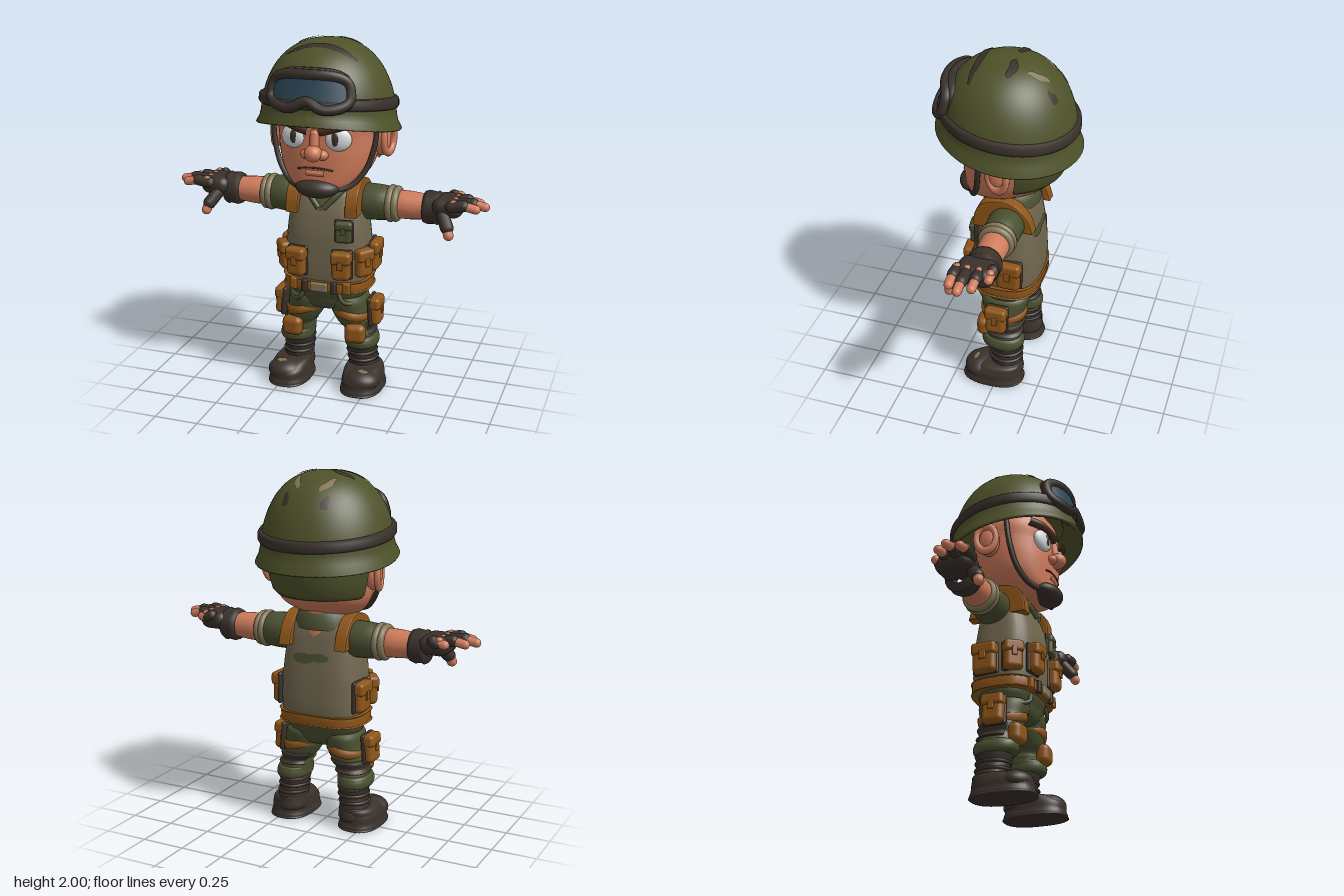
import * as THREE from 'three';
import { RoundedBoxGeometry } from 'three/addons/geometries/RoundedBoxGeometry.js';
import { ParametricGeometry } from 'three/addons/geometries/ParametricGeometry.js';

const V = (x, y, z) => new THREE.Vector3(x, y, z);
const mat = (name, color, side = THREE.FrontSide) => new THREE.MeshStandardMaterial({ name, color, side });

// Cross-sections [y, centreX, centreZ, radiusX, radiusZ], blended smoothly along v
const fb = rows => rows.map(([y, f, b, rx]) => [y, 0, (f + b) / 2, rx, (f - b) / 2]);
const cr = (a, b, c, d, t) => 0.5 * (2 * b + (c - a) * t + (2 * a - 5 * b + 4 * c - d) * t * t + (3 * b - a - 3 * c + d) * t * t * t);
function sample(S, v) {
  const f = v * (S.length - 1), i = Math.min(Math.floor(f), S.length - 2), at = j => S[Math.max(0, Math.min(S.length - 1, j))];
  return S[0].map((_, k) => cr(at(i - 1)[k], at(i)[k], at(i + 1)[k], at(i + 2)[k], f - i));
}
function loft(rows, n = 2, u0 = 0, u1 = 2 * Math.PI) {
  const cap = r => [r[0], r[1], r[2], 0.001, 0.001];
  const S = [cap(rows[0]), ...rows, cap(rows[rows.length - 1])];
  return new ParametricGeometry((u, v, p) => {
    const [y, cx, cz, rx, rz] = sample(S, v), a = u0 + (u1 - u0) * u, s = Math.sin(a), c = Math.cos(a);
    const k = Math.pow(Math.abs(s) ** n + Math.abs(c) ** n, -1 / n);
    p.set(cx + rx * k * s, y, cz + rz * k * c);
  }, 40, (S.length - 1) * 5);
}
// Depth of a lofted body's surface at (x, y); dir 1 = front, -1 = back
function surfZ(S, n, x, y, dir = 1) {
  let lo = 0, hi = 1;
  for (let i = 0; i < 30; i++) { const m = (lo + hi) / 2; if (sample(S, m)[0] < y) lo = m; else hi = m; }
  const [, , cz, rx, rz] = sample(S, lo), q = Math.min(1, Math.abs(x) / rx);
  return cz + dir * rz * Math.pow(1 - q ** n, 1 / n);
}
const ball = (x, y, z, rx, ry, rz) => new THREE.SphereGeometry(1, 28, 18).scale(rx, ry, rz).translate(x, y, z);
const rbox = (w, h, d, r = 0.02) => new RoundedBoxGeometry(w, h, d, 3, Math.min(r, w / 2.1, h / 2.1, d / 2.1));
const tube = (pts, r, closed = false, seg = 40) => new THREE.TubeGeometry(new THREE.CatmullRomCurve3(pts, closed), seg, r, 10, closed);
const lathe = (pts, seg = 48, ...arc) => new THREE.LatheGeometry(pts.map(p => new THREE.Vector2(...p)), seg, ...arc);
// Turned limb along +x, points are [radius, x]
const limb = pts => lathe(pts, 24).rotateZ(-Math.PI / 2).translate(0, 1.1, -0.045);
function capsule(a, b, r) {
  const d = b.clone().sub(a), m = a.clone().add(b).multiplyScalar(0.5);
  const q = new THREE.Quaternion().setFromUnitVectors(V(0, 1, 0), d.clone().normalize());
  return new THREE.CapsuleGeometry(r, d.length(), 5, 12).applyQuaternion(q).translate(m.x, m.y, m.z);
}
function mirrored(geo) {
  const g = geo.clone().scale(-1, 1, 1);
  const idx = g.index ? Array.from(g.index.array) : [...Array(g.attributes.position.count).keys()];
  g.setIndex(idx.reverse());
  return g;
}

export function createModel() {
  const root = new THREE.Group();
  root.name = 'soldier';
  const skin = mat('skin', 0xd07c5c), helmetGreen = mat('helmetGreen', 0x4e5229, THREE.DoubleSide), cloth = mat('clothGreen', 0x4a5030, THREE.DoubleSide);
  const vestTan = mat('vestTan', 0x71674f), cuffTan = mat('paleTan', 0x827657, THREE.DoubleSide), leather = mat('leather', 0x8f5618);
  const dark = mat('darkBrown', 0x3a312b, THREE.DoubleSide), white = mat('eyeWhite', 0xd9dcdc), glass = mat('lensBlue', 0x2a4454, THREE.DoubleSide), brow = mat('browBrown', 0x4a2b1e);
  const add = (name, geo, m) => { const o = new THREE.Mesh(geo, m); o.name = name; root.add(o); };
  const pair = (name, geo, m) => { add(name + 'Left', geo, m); add(name + 'Right', mirrored(geo), m); };

  // Head
  const H = fb([[1.18, 0.18, 0.04, 0.05], [1.195, 0.21, -0.04, 0.12], [1.24, 0.23, -0.13, 0.185], [1.31, 0.235, -0.24, 0.24],
    [1.4, 0.24, -0.28, 0.265], [1.5, 0.24, -0.3, 0.275], [1.6, 0.24, -0.3, 0.28], [1.7, 0.2, -0.25, 0.22]]);
  const face = (x, y, lift = 0) => V(x, y, surfZ(H, 2.4, x, y) + lift);
  add('head', loft(H, 2.4), skin);
  add('neck', lathe([[0.13, 1.1], [0.12, 1.28]], 24).translate(0, 0, -0.03), skin);
  add('nose', ball(0, 1.43, 0.262, 0.048, 0.045, 0.05), skin);
  add('noseBridge', capsule(V(0, 1.44, 0.25), V(0, 1.53, 0.235), 0.026), skin);
  pair('nostril', ball(0.045, 1.42, 0.243, 0.032, 0.028, 0.032), skin);
  add('mouth', tube([-0.1, -0.05, 0, 0.05, 0.1].map(x => face(x, 1.345 - x * x * 1.2, 0.001)), 0.005), brow);
  add('lowerLip', tube([-0.05, 0, 0.05].map(x => face(x, 1.315, -0.008)), 0.018), skin);
  const eyeZ = surfZ(H, 2.4, 0.125, 1.5);
  pair('eye', ball(0, 0, 0, 0.07, 0.062, 0.03).rotateY(0.25).translate(0.128, 1.505, eyeZ - 0.002), white);
  pair('pupil', ball(0.114, 1.51, eyeZ + 0.026, 0.02, 0.036, 0.008), dark);
  pair('eyebrow', tube([[0.03, 1.55], [0.09, 1.565], [0.16, 1.585], [0.22, 1.595]].map(([x, y]) => face(x, y, 0.012)), 0.025), brow);
  pair('ear', ball(0.295, 1.465, -0.03, 0.045, 0.09, 0.06), skin);
  pair('earRim', new THREE.TorusGeometry(0.055, 0.018, 10, 28).scale(1, 1.4, 1).rotateY(Math.PI / 2 - 0.25).translate(0.33, 1.47, -0.035), skin);

  // Helmet: superellipse dome with a flared brim, tilted back
  const domeY = r => 1.53 + 0.47 * Math.pow(Math.max(0, 1 - (r / 0.37) ** 2.4), 1 / 2.2);
  const tilt = (y, z) => y + Math.max(0, (2 - y) / 0.47) * (0.15 * z + 0.12 * z * z);
  const profile = [[0.28, 1.66], [0.34, 1.575], [0.375, 1.525], [0.39, 1.522], [0.396, 1.53], [0.375, 1.572]];
  for (let i = 0; i <= 24; i++) { const r = 0.367 * Math.cos(i / 24 * Math.PI / 2); profile.push([Math.max(r, 0), domeY(r)]); }
  const shell = lathe(profile, 64), P = shell.attributes.position;
  for (let i = 0; i < P.count; i++) P.setY(i, tilt(P.getY(i), P.getZ(i)));
  shell.computeVertexNormals();
  add('helmet', shell, helmetGreen);
  add('helmetNeckGuard', lathe([[0.26, 1.56], [0.255, 1.36], [0.275, 1.335], [0.3, 1.36], [0.325, 1.45], [0.335, 1.56]], 32, Math.PI - 1.2, 2.4), helmetGreen);
  const band = lathe([[0.34, 1.64], [0.37, 1.642], [0.379, 1.655], [0.378, 1.69], [0.368, 1.703], [0.34, 1.705]], 64), B = band.attributes.position;
  for (let i = 0; i < B.count; i++) B.setY(i, B.getY(i) + 0.12 * B.getZ(i));
  add('helmetBand', band, dark);

  // Thin camouflage marks following the dome: [x, z, halfWidth, halfDepth, turn]
  const mark = ([cx, cz, a, b, turn]) => new ParametricGeometry((u, v, p) => {
    const t = u * 2 * Math.PI, r = 0.02 + 0.98 * v, px = a * r * Math.cos(t), pz = b * r * Math.sin(t) * (1 + 0.3 * Math.sin(3 * t));
    const x = cx + px * Math.cos(turn) - pz * Math.sin(turn), z = cz + px * Math.sin(turn) + pz * Math.cos(turn);
    p.set(x, tilt(domeY(Math.hypot(x, z)), z) + 0.006, z);
  }, 28, 6);
  [[0.01, 0.15, 0.2, 0.022, 0], [-0.115, -0.045, 0.07, 0.024, 0], [0.105, -0.045, 0.07, 0.024, 0], [-0.12, -0.26, 0.028, 0.018, -1], [0.11, -0.26, 0.028, 0.018, 1]]
    .forEach(m => add('helmetDarkMark', mark(m), dark));
  [[-0.1, -0.18, 0.06, 0.017, -1.15], [0.08, -0.18, 0.06, 0.017, 1.15]].forEach(m => add('helmetPaleMark', mark(m), cuffTan));

  // Goggles wrapped around the helmet front
  const wrap = (s, y, lift) => { const R = 0.39 - 0.3 * (y - 1.66) + lift, a = s / 0.37; return V(R * Math.sin(a), y, R * Math.cos(a)); };
  const outline = (t, r, lift) => {
    const c = Math.cos(t), s = Math.sin(t), k = (Math.abs(c) ** 3 + Math.abs(s) ** 3) ** (-1 / 3), x = 0.238 * k * c * r;
    return wrap(x, 1.775 + r * (0.088 * k * s + (s < 0 ? -s * 0.045 * Math.exp(-((x / 0.06) ** 2)) : 0)), lift);
  };
  const loop = lift => Array.from({ length: 48 }, (_, i) => outline(i / 48 * 2 * Math.PI, 1, lift));
  add('goggleFrame', tube(loop(0), 0.028, true, 96), dark);
  add('goggleSeal', tube(loop(-0.035), 0.032, true, 96), dark);
  add('goggleLens', new ParametricGeometry((u, v, p) => p.copy(outline(-u * 2 * Math.PI, 0.003 + 0.997 * v, 0.008)), 64, 8), glass);

  // Chin strap
  pair('chinStrap', tube([V(0.295, 1.6, 0.07), V(0.284, 1.45, 0.085), V(0.243, 1.32, 0.11), V(0.175, 1.24, 0.15), V(0.09, 1.215, 0.2)], 0.015), dark);
  add('chinCup', ball(0, 1.226, 0.195, 0.122, 0.056, 0.085), dark);

  // Torso, collar and vest details
  const T = fb([[0.61, 0.14, -0.17, 0.21], [0.64, 0.155, -0.19, 0.228], [0.72, 0.165, -0.2, 0.235], [0.85, 0.165, -0.195, 0.235], [0.95, 0.16, -0.185, 0.227],
    [1.05, 0.14, -0.17, 0.215], [1.13, 0.11, -0.155, 0.2], [1.18, 0.08, -0.135, 0.17], [1.205, 0.04, -0.1, 0.12]]);
  add('vest', loft(T, 3), vestTan);
  add('collar', lathe([[0.17, 1.15], [0.165, 1.2], [0.14, 1.245], [0.12, 1.25], [0.115, 1.2]], 32).scale(1, 1, 0.85).translate(0, 0, -0.03), cloth);
  add('shirtNeckline', new ParametricGeometry((u, v, p) => {
    const y = 1.075 + 0.115 * v, x = (u - 0.5) * (0.02 + 0.24 * v);
    p.set(x, y, surfZ(T, 3, x, y) + 0.006);
  }, 10, 10), cloth);
  pair('collarFlap', tube([V(0.13, 1.215, 0.04), V(0.08, 1.16, 0.105), V(0.015, 1.09, 0.135)], 0.016), cloth);
  const backMark = (cx, cy, a, b) => new ParametricGeometry((u, v, p) => {
    const t = u * 2 * Math.PI, r = 0.02 + 0.98 * v, x = cx + a * r * Math.cos(t), y = cy + b * r * Math.sin(t);
    p.set(x, y, surfZ(T, 3, x, y, -1) - 0.005);
  }, 24, 4);
  add('vestBackMark', backMark(0.055, 0.99, 0.065, 0.03), cloth);
  add('vestBackMark', backMark(-0.035, 1.0, 0.065, 0.024), cloth);
  const strapShape = new THREE.Shape();
  strapShape.moveTo(0.138, 1.06);
  strapShape.splineThru([[0.13, 1.13], [0.09, 1.195], [0, 1.225], [-0.09, 1.21], [-0.155, 1.14], [-0.183, 1.06]].map(p => new THREE.Vector2(...p)));
  strapShape.lineTo(0.138, 1.06);
  pair('shoulderStrap', new THREE.ExtrudeGeometry(strapShape, { depth: 0.055, bevelSize: 0.008, bevelThickness: 0.008, bevelSegments: 2, curveSegments: 24 })
    .rotateY(-Math.PI / 2).translate(0.198, 0, 0), leather);

  // Pouch: body, flap and dark backing, turned about y and leaned about z
  function pouch(name, w, h, d, pos, turn, m, both = true, lean = 0) {
    const put = (part, g, y, z, c) => (both ? pair : add)(name + part, g.translate(0, y, z).rotateY(turn).rotateZ(lean).translate(...pos), c);
    put('Body', rbox(w, h, d, 0.028), 0, 0, m);
    put('Flap', rbox(w * 1.06, h * 0.42, d * 1.1, 0.02), h * 0.28, d * 0.07, m);
    put('Tab', rbox(w * 0.28, h * 0.3, 0.012, 0.005), h * 0.06, d * 0.6, m);
    put('Backing', rbox(w * 1.1, h * 1.03, d * 0.4, 0.012), 0, -d * 0.32, dark);
  }
  pouch('frontPouch', 0.108, 0.165, 0.07, [0.13, 0.785, 0.178], 0.1, leather);
  pouch('cornerPouch', 0.105, 0.165, 0.07, [0.228, 0.785, 0.085], 0.95, leather);
  pouch('sidePouch', 0.135, 0.175, 0.06, [0.25, 0.785, -0.07], Math.PI / 2, leather);
  pouch('chestPouch', 0.095, 0.125, 0.04, [0.137, 0.975, 0.16], 0.15, cloth, false);
  pouch('thighPouch', 0.12, 0.165, 0.065, [0.278, 0.475, -0.005], Math.PI / 2, leather, true, 0.08);

  // Belt
  add('belt', loft(fb([[0.612, 0.16, -0.19, 0.235], [0.62, 0.172, -0.2, 0.245], [0.665, 0.172, -0.203, 0.246], [0.675, 0.16, -0.19, 0.235]]), 3), leather);
  add('buckle', rbox(0.1, 0.052, 0.03, 0.008).translate(0, 0.643, 0.178), cuffTan);
  pair('beltLoop', rbox(0.03, 0.072, 0.03, 0.008).translate(0.085, 0.643, 0.172), dark);
  pair('beltKeeper', rbox(0.04, 0.065, 0.03, 0.008).translate(0.155, 0.643, 0.158), leather);

  // Arms
  pair('sleeve', limb([[0.001, 0.14], [0.08, 0.15], [0.102, 0.2], [0.1, 0.28], [0.094, 0.34], [0.07, 0.37]]), cloth);
  [[0.35, 0.084], [0.38, 0.08]].forEach(([x, r]) => pair('sleeveCuff', new THREE.TorusGeometry(r, 0.021, 12, 28).rotateY(Math.PI / 2).translate(x, 1.1, -0.045), cuffTan));
  pair('forearm', limb([[0.07, 0.33], [0.079, 0.4], [0.078, 0.46], [0.068, 0.56]]), skin);
  pair('gloveCuff', limb([[0.06, 0.535], [0.086, 0.537], [0.094, 0.56], [0.088, 0.6], [0.094, 0.612], [0.084, 0.628], [0.05, 0.635]]), dark);
  pair('palm', rbox(0.17, 0.105, 0.21, 0.05).translate(0.675, 1.125, -0.038), dark);
  [[-0.125, 0.77], [-0.066, 0.86], [-0.004, 0.9], [0.053, 0.86]].forEach(([z, tip]) => {
    pair('knuckle', ball(0.715, 1.165, z, 0.022, 0.018, 0.02), skin);
    pair('gloveFinger', capsule(V(0.7, 1.145, z), V(tip - 0.09, 1.155, z), 0.032), dark);
    pair('fingertip', capsule(V(tip - 0.09, 1.155, z), V(tip - 0.025, 1.142, z), 0.025), skin);
  });
  pair('gloveThumb', capsule(V(0.655, 1.09, 0.04), V(0.69, 1.035, 0.085), 0.036), dark);
  pair('thumbTip', capsule(V(0.69, 1.035, 0.085), V(0.703, 0.998, 0.1), 0.028), skin);

  // Trousers
  add('hips', loft(fb([[0.475, 0.07, -0.09, 0.08], [0.5, 0.11, -0.13, 0.16], [0.55, 0.13, -0.155, 0.205], [0.63, 0.14, -0.17, 0.212]]), 2.4), cloth);
  pair('leg', loft([[0.27, 0.19, -0.025, 0.08, 0.1], [0.33, 0.18, -0.025, 0.087, 0.1], [0.36, 0.172, -0.02, 0.082, 0.096], [0.4, 0.155, -0.015, 0.098, 0.112],
    [0.47, 0.13, -0.012, 0.108, 0.125], [0.56, 0.115, -0.012, 0.1, 0.13]], 2.2), cloth);
  pair('legDarkMark', loft([[0.335, 0.18, -0.026, 0.093, 0.106], [0.36, 0.172, -0.02, 0.09, 0.103], [0.405, 0.155, -0.015, 0.104, 0.118]], 2.2, 0.9, 4.1), dark);
  pair('trouserCuff', loft([[0.248, 0.195, -0.028, 0.075, 0.09], [0.26, 0.195, -0.025, 0.093, 0.118], [0.295, 0.193, -0.022, 0.095, 0.122], [0.32, 0.188, -0.022, 0.08, 0.1]], 2.2), cloth);
  pair('pocketFold', tube([V(0.1, 0.6, 0.135), V(0.13, 0.55, 0.135), V(0.2, 0.525, 0.07)], 0.012), cloth);
  pair('thighBand', lathe([[0.9, -0.026], [1.02, -0.022], [1.04, 0], [1.02, 0.022], [0.9, 0.026]], 36).scale(0.113, 1, 0.131).rotateZ(-0.25).translate(0.138, 0.462, -0.012), leather);
  pair('kneePad', rbox(0.12, 0.112, 0.075, 0.034).rotateY(0.12).translate(0.187, 0.355, 0.095), leather);

  // Boots
  pair('bootShaft', loft([[0.06, 0.2, -0.045, 0.085, 0.095], [0.13, 0.197, -0.045, 0.085, 0.092], [0.2, 0.19, -0.04, 0.08, 0.09], [0.265, 0.187, -0.035, 0.084, 0.095]]), dark);
  pair('bootFoot', loft([[0.004, 0.218, 0.028, 0.11, 0.165], [0.02, 0.218, 0.028, 0.12, 0.175], [0.045, 0.218, 0.028, 0.114, 0.168], [0.09, 0.218, 0.025, 0.11, 0.16], [0.13, 0.21, -0.01, 0.09, 0.115]], 2.5), dark);
  pair('bootToe', ball(0.23, 0.078, 0.105, 0.102, 0.062, 0.09), dark);
  [[0.125, 0.2], [0.165, 0.196], [0.205, 0.19], [0.245, 0.188]].forEach(([y, x]) =>
    pair('bootFold', new THREE.TorusGeometry(0.08, 0.01, 8, 28).rotateX(Math.PI / 2).scale(1, 1, 1.12).translate(x, y, -0.04), dark));
  pair('toeScuff', ball(0, 0, 0, 0.03, 0.004, 0.016).rotateX(0.35).translate(0.245, 0.137, 0.125), cuffTan);
  return root;
}
